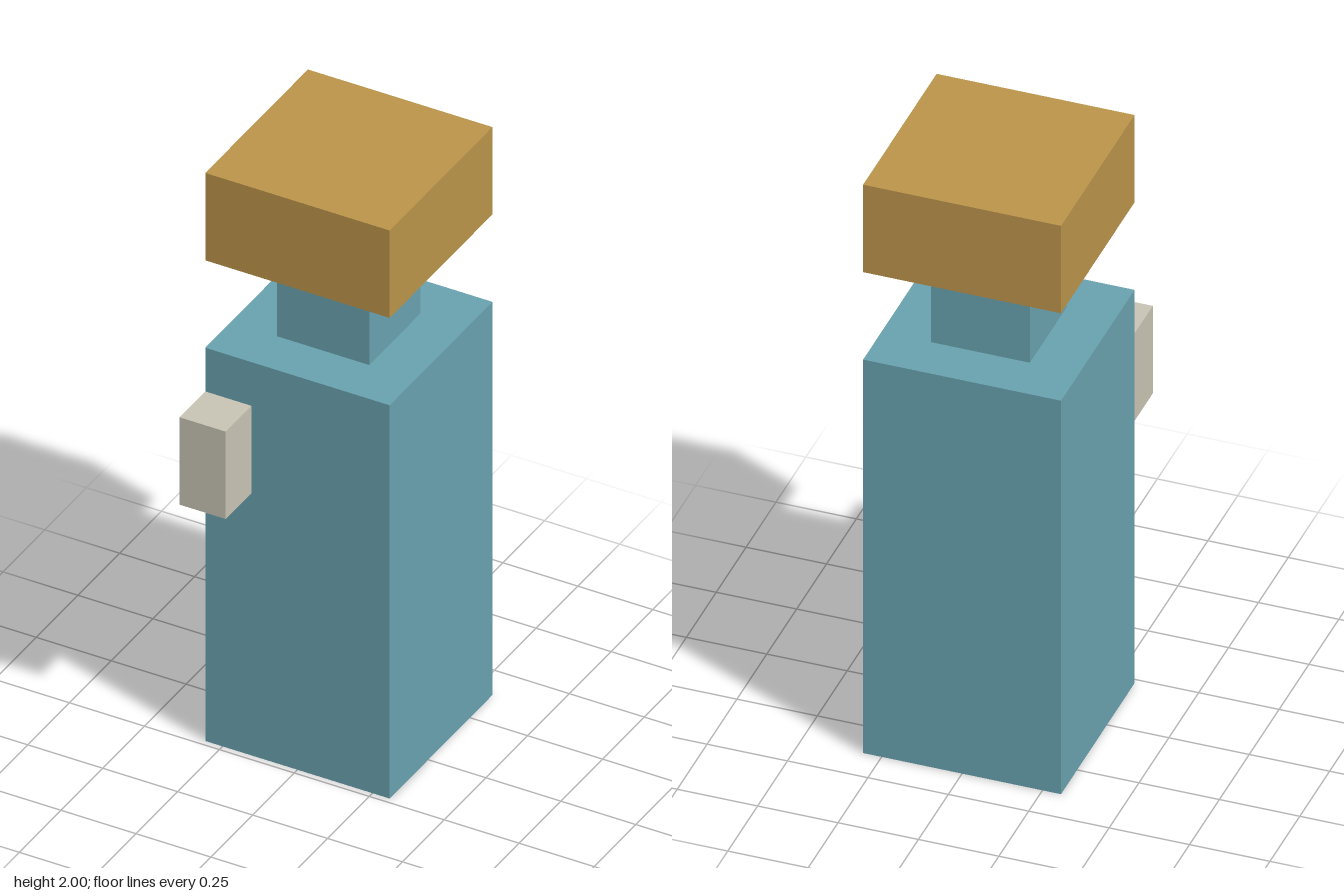
import * as THREE from 'three';

// The whole model sits on a cubic grid, 13 cells tall.
const U = 2 / 13;

function material(name, color) {
  const m = new THREE.MeshStandardMaterial({ color });
  m.name = name;
  return m;
}

// Box given by its lowest corner and its size, both in grid cells.
function block(name, mat, [x, y, z], [w, h, d]) {
  const mesh = new THREE.Mesh(new THREE.BoxGeometry(w * U, h * U, d * U), mat);
  mesh.position.set((x + w / 2) * U, (y + h / 2) * U, (z + d / 2) * U);
  mesh.name = name;
  return mesh;
}

export function createModel() {
  const teal = material('teal', 0x69a2af);
  const ochre = material('ochre', 0xbb944a);
  const stone = material('pale stone', 0xc8c4b4);

  const model = new THREE.Group();
  model.name = 'bottle';
  model.add(
    block('body', teal, [-2, 0, -2.5], [4, 9, 4]),
    block('neck', teal, [-1, 9, -1.5], [2, 2, 2]),
    block('cap', ochre, [-2, 11, -2.5], [4, 2, 4]),
    // Small tab on the front, flush with the right edge
    block('tab', stone, [-2, 6, 1.5], [1, 2, 1]),
  );
  return model;
}
